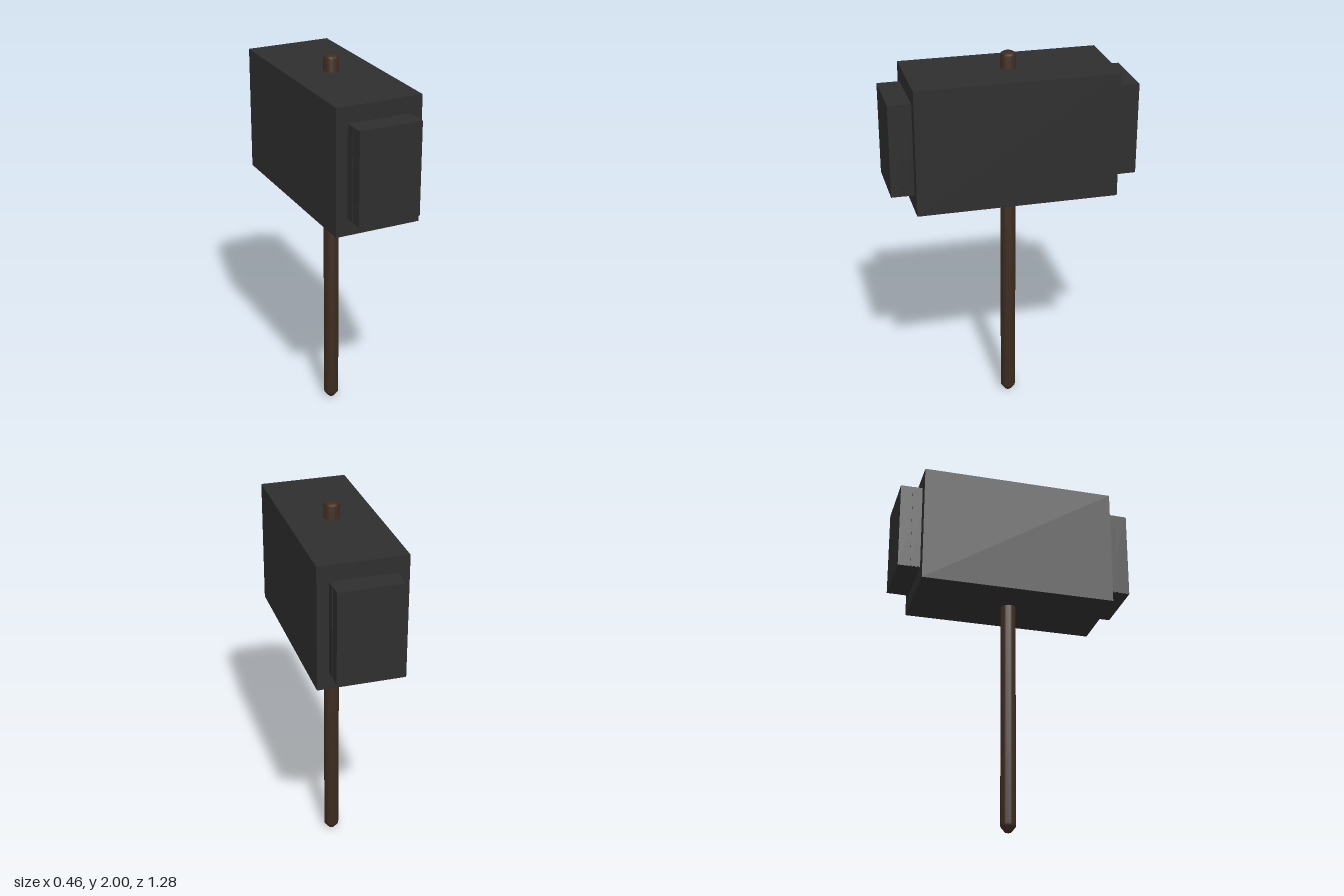
import * as THREE from 'three';
import { toCreasedNormals } from 'three/addons/utils/BufferGeometryUtils.js';

export function createModel() {
  const model = new THREE.Group();
  model.name = 'mallet';

  const iron = new THREE.MeshStandardMaterial({ color: 0x2e2e2e });
  iron.name = 'dark iron';
  const wood = new THREE.MeshStandardMaterial({ color: 0x3d2b1f });
  wood.name = 'dark wood';

  const add = (name, geometry, material, x = 0, y = 0, z = 0) => {
    const mesh = new THREE.Mesh(geometry, material);
    mesh.name = name;
    mesh.position.set(x, y, z);
    model.add(mesh);
  };

  // Main block of the head
  add('head', new THREE.BoxGeometry(0.456, 0.66, 1.044), iron, 0, 1.585, 0);

  // Striking faces, each with a slightly wider root against the head
  for (const [side, s] of [['front', 1], ['back', -1]]) {
    add(side + 'StrikingFace', new THREE.BoxGeometry(0.33, 0.486, 0.13), iron, 0, 1.587, s * 0.575);
    add(side + 'FaceRoot', new THREE.BoxGeometry(0.336, 0.484, 0.065), iron, 0, 1.587, s * 0.5425);
  }

  // Round handle through the head, tapered foot and softly domed top
  const profile = [
    [0, 0], [0.017, 0.002], [0.039, 0.03], [0.04, 0.04],
    [0.04, 1.982], [0.036, 1.992], [0.026, 1.998], [0, 2],
  ].map(([r, y]) => new THREE.Vector2(r, y));
  add('handle', toCreasedNormals(new THREE.LatheGeometry(profile, 24), 0.6), wood);

  return model;
}
